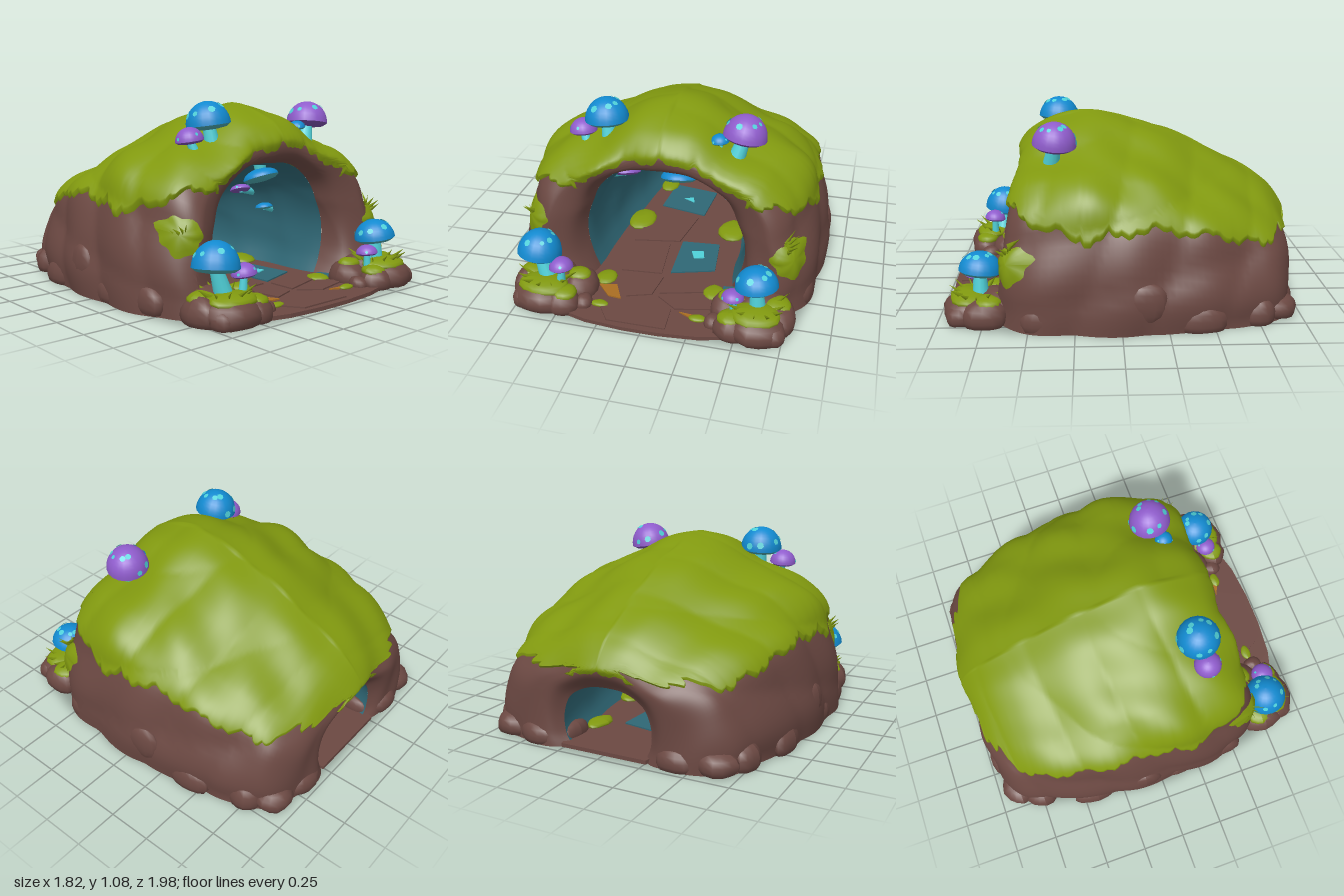
import * as THREE from 'three';
import { toCreasedNormals } from 'three/addons/utils/BufferGeometryUtils.js';

const mat = (name, color, side = THREE.FrontSide) => {
  const m = new THREE.MeshStandardMaterial({ color, side });
  m.name = name;
  return m;
};
const V = (x, y, z) => new THREE.Vector3(x, y, z);
const clamp = THREE.MathUtils.clamp, lerp = THREE.MathUtils.lerp, smooth = THREE.MathUtils.smoothstep;

export function createModel() {
  const root = new THREE.Group();
  root.name = 'mushroomCave';
  const M = {
    rock: mat('rock', 0x6b4842), moss: mat('moss', 0x81990f, THREE.DoubleSide),
    soil: mat('amberSoil', 0xa96d22),
    blue: mat('blueCap', 0x128ad0), purple: mat('purpleCap', 0x8f5ccc),
    glow: mat('paleStem', 0x4fd0d8, THREE.DoubleSide), wall: mat('tealWall', 0x2f6775),
    gill: mat('gills', 0x4aa5ac), violet: mat('violetGills', 0x7a4faa),
  };
  let seed = 7;
  const rnd = () => (seed = (seed * 16807) % 2147483647) / 2147483647;
  const add = (name, geo, material, parent = root) => {
    const m = new THREE.Mesh(geo, material);
    m.name = name;
    parent.add(m);
    return m;
  };

  // Closed loop of arches (half width, height, z): tunnel, front rim, outside, back rim
  const rings = [[.27, .36, -.9], [.36, .52, -.4], [.43, .66, .05], [.46, .72, .44], [.51, .755, .53], [.62, .82, .555],
    [.75, .885, .53], [.83, .955, .45], [.88, 1.025, .2], [.885, 1.0, 0], [.87, .93, -.25], [.83, .82, -.5],
    [.77, .715, -.72], [.69, .62, -.87], [.54, .51, -.95], [.36, .44, -.96], [.27, .36, -.9]];
  const ringCurve = new THREE.CatmullRomCurve3(rings.map(r => V(...r)));
  const half = pts => new THREE.CatmullRomCurve3(pts.map(p => V(p[0], p[1], 0)));
  const outer = half([[1, 0], [1.01, .2], [.95, .43], [.87, .63], [.7, .755], [.45, .85], [.2, .965], [0, 1]]);
  const inner = half([[.84, 0], [.98, .2], [1, .42], [.95, .6], [.84, .77], [.62, .9], [.33, .98], [0, 1]]);

  // Point on the rock: s runs along the rings, u across the arch from left foot to right foot
  function shell(s, u, lift = 0) {
    const r = ringCurve.getPoint(clamp(s / 16, 0, 1));
    const p = 1 - Math.abs(2 * u - 1);
    const k = smooth(s, 3, 7) * (1 - smooth(s, 13, 16));
    const q = inner.getPoint(p).lerp(outer.getPoint(p), k);
    const side = u < .5 ? 1 : -1;
    const front = clamp(1 - Math.abs(s - 5.4) / 2.4, 0, 1), back = clamp(1 - Math.abs(s - 14.5) / 1.5, 0, 1);
    let x = r.x * q.x * side, y = r.y * q.y;
    let z = r.z + .16 * front * (1 - q.y);
    const lump = .024 * (Math.abs(Math.sin(8 * z + 3 * y + side)) - .6) + .02 * (Math.abs(Math.sin(9 * y + 2 * z + 1)) - .6)
      + .008 * Math.sin(17 * x + 11 * z);
    const d = 1 + lump * (s > 3 && s < 15.9 ? 1 : .8) * (1 - .6 * smooth(p, .6, 1)) + lift;
    z += lift * (front - back) + .012 * Math.sin(14 * x + 9 * y) * (front + back);
    return V(x * d, y * d, z);
  }
  function grid(na, nb, fn) {
    const pos = [], idx = [];
    for (let j = 0; j <= nb; j++) for (let i = 0; i <= na; i++) {
      const p = fn(i / na, j / nb);
      pos.push(p.x, p.y, p.z);
      if (i < na && j < nb) {
        const a = j * (na + 1) + i, b = a + na + 1;
        idx.push(a, b, a + 1, a + 1, b, b + 1);
      }
    }
    const g = new THREE.BufferGeometry();
    g.setAttribute('position', new THREE.Float32BufferAttribute(pos, 3));
    g.setIndex(idx);
    g.computeVertexNormals();
    return g;
  }
  add('tunnelWall', toCreasedNormals(grid(44, 24, (u, t) => shell(t * 3.1, u)), .5), M.wall);
  add('rockShell', toCreasedNormals(grid(64, 90, (u, t) => shell(lerp(3.1, 16, t), u)), .6), M.rock);

  // Moss blanket with ragged edges
  const edgeHeights = [[5, .7], [6, .67], [7, .58], [8, .49], [9.5, .55], [11, .5], [12, .43], [13, .45], [14, .47], [15, .42]];
  function edgeU(s) {
    let i = 0;
    while (i < edgeHeights.length - 2 && s > edgeHeights[i + 1][0]) i++;
    const [a, b] = [edgeHeights[i], edgeHeights[i + 1]];
    const y = lerp(a[1], b[1], clamp((s - a[0]) / (b[0] - a[0]), 0, 1))
      - .045 * Math.abs(Math.sin(s * 2.9)) - .025 * Math.abs(Math.sin(s * 9.1)) + .035;
    let u = .04;
    while (u < .46 && shell(s, u).y < y) u += .004;
    return u;
  }
  add('mossBlanket', grid(120, 110, (a, t) => {
    const s0 = lerp(5.7, 14.5, t), e = edgeU(s0), u = lerp(e, 1 - e, a);
    const jag = .45 * Math.abs(Math.sin(u * 19 + 2 * Math.sin(u * 13))) + .4 * Math.abs(Math.sin(u * 61 + Math.sin(u * 29)))
      + .25 * Math.abs(Math.sin(u * 107));
    const s = s0 - 1.05 * jag * Math.pow(1 - t, 14) + .45 * jag * Math.pow(t, 14);
    return shell(s, u, a === 0 || a === 1 ? .004 : lerp(.026, .012, Math.pow(Math.abs(2 * t - 1), 12)));
  }), M.moss);
  // Moss patches on the two pillars
  for (const right of [0, 1]) add('pillarMoss', grid(32, 4, (a, t) => {
    const th = a * Math.PI * 2, r = t * (1 + .1 * Math.sin(th * 3 + right) + .08 * Math.sin(th * 7));
    const u = (right ? .155 : .13) + .036 * r * Math.sin(th);
    return shell(6.15 + .9 * r * Math.cos(th), right ? 1 - u : u, .022 * (1 - t * t) + .008);
  }), M.moss);

  // Underside following the foot of the rock, and the path
  const mirrored = pts => new THREE.Shape([...pts, ...pts.slice().reverse().map(([x, z]) => [-x, z])]
    .map(p => new THREE.Vector2(...p)));
  const foot = [];
  for (let s = 15; s >= 7; s -= .25) foot.push([shell(s, 0).x, shell(s, 0).z]);
  const soil = new THREE.ShapeGeometry(mirrored([...foot, [.8, .72], [.75, .88], [.62, .97], [.45, .96], [.2, .98]]));
  add('underside', soil.rotateX(Math.PI / 2), M.soil);
  const slab = (name, shape, top, depth, material) => {
    const g = new THREE.ExtrudeGeometry(shape, { depth, bevelEnabled: false });
    return add(name, g.rotateX(Math.PI / 2).translate(0, top, 0), material);
  };
  slab('path', mirrored([[.26, -.95], [.4, -.4], [.5, .2], [.55, .6], [.55, .9], [.32, .965], [.1, .985]]), .025, .022, M.rock);
  const poly = pts => new THREE.Shape(pts.map(p => new THREE.Vector2(...p)));
  const plates = [
    [M.soil, [[-.34, .65], [-.24, .63], [-.18, .75], [-.26, .74]]], [M.soil, [[.17, .79], [.28, .8], [.27, .84]]],
    [M.rock, [[-.3, .8], [-.02, .7], [.12, .78], [.13, .95], [-.2, .95]]], [M.rock, [[.02, .68], [.3, .6], [.36, .72], [.14, .77]]],
    [M.rock, [[-.2, .52], [.0, .5], [-.02, .67], [-.16, .72]]], [M.rock, [[.02, .48], [.26, .4], [.3, .57], [.02, .65]]],
    [M.rock, [[-.3, .2], [-.05, .15], [-.02, .46], [-.26, .48]]], [M.wall, [[.02, .1], [.25, .08], [.28, .36], [.03, .44]]],
    [M.rock, [[-.25, -.25], [.05, -.2], [.0, .1], [-.28, .15]]], [M.wall, [[-.2, -.6], [.1, -.55], [.08, -.24], [-.22, -.3]]],
    [M.wall, [[.36, .5], [.5, .48], [.5, .66], [.38, .68]]],
    [M.glow, [[.1, .2], [.17, .18], [.19, .25], [.13, .27]]], [M.glow, [[-.1, -.42], [-.04, -.44], [-.02, -.38]]],
  ];
  plates.forEach(([m, pts]) => slab('pavingStone', poly(pts), m === M.glow ? .038 : .033, .008, m));

  // Boulders: lumpy spheres cut flat at the ground
  function boulder(name, material, x, y, z, rx, ry, rz) {
    const g = new THREE.SphereGeometry(1, 14, 9), p = g.attributes.position, o = x * 9 + z * 5;
    for (let i = 0; i < p.count; i++) {
      const v = V().fromBufferAttribute(p, i);
      v.multiplyScalar(1 + .07 * Math.sin(4 * v.x + o) * Math.cos(3 * v.z + 2 * v.y + o));
      p.setXYZ(i, x + v.x * rx, Math.max(.002, y + v.y * ry), z + v.z * rz);
    }
    g.computeVertexNormals();
    add(name, g, material);
  }
  const blade = (x, y, z, dir, len) => {
    const b = add('grassBlade', new THREE.ConeGeometry(.018, len, 4).scale(1, 1, .3).translate(0, len / 2, 0), M.moss);
    b.position.set(x, y, z);
    b.rotation.set(0, dir, -.95, 'YXZ');
  };
  for (const s of [1, -1]) {
    [[.61, .05, .84, .16, .1, .14], [.48, .04, .87, .1, .085, .09], [.72, .05, .74, .09, .1, .13], [.43, .04, .7, .1, .1, .12],
      [.6, .08, .68, .15, .09, .13], [.37, .03, .83, .05, .05, .06], [.7, .04, .87, .07, .07, .08],
      [.72, .05, -.74, .08, .1, .1], [.62, .05, -.87, .12, .08, .1], [.42, .04, -.92, .12, .08, .07], [.82, .05, -.42, .06, .1, .14],
      [.86, .17, -.12, .05, .12, .12], [.84, .05, .1, .05, .09, .13], [.81, .06, .42, .06, .1, .13], [.28, .03, -.8, .05, .07, .12],
    ].forEach(([x, ...r]) => boulder('boulder', M.rock, s * x, ...r));
    [[.6, .12, .83, .14, .04, .11], [.7, .12, .72, .08, .04, .08], [.47, .1, .86, .07, .035, .07], [.44, .12, .7, .07, .035, .06],
      [.32, .03, .57, .06, .02, .07], [.3, .03, -.1, .09, .03, .12], [.24, .03, -.6, .06, .025, .1], [.28, .03, .82, .05, .015, .03],
    ].forEach(([x, ...r]) => boulder('mossMound', M.moss, s * x, ...r));
    for (let i = 0; i < 12; i++) {
      const a = i / 12 * Math.PI * 2;
      blade(s * .6 + .09 * Math.cos(a), .13, .78 - .08 * Math.sin(a), a, .07 + .05 * rnd());
    }
    for (let i = 0; i < 5; i++) blade(s * .71, .38 + .015 * i, .6, (s > 0 ? 0 : Math.PI) + (i - 2) * .5, .1);
  }

  // Mushrooms: rim centre, radius, cap height, stem foot, sideways tilt, colour, spots, lean back
  function mushroom(c, R, h, base, tilt, color, spots = 9, lean = -.1) {
    const g = new THREE.Group();
    g.name = 'mushroom';
    root.add(g);
    const cap = new THREE.Group();
    cap.name = 'cap';
    cap.position.set(...c);
    cap.rotation.set(lean, 0, tilt);
    g.add(cap);
    const dome = [];
    for (let i = 0; i <= 9; i++) {
      const a = i / 9 * Math.PI / 2;
      dome.push(new THREE.Vector2(R * Math.cos(a), h * Math.sin(a)));
    }
    add('capDome', new THREE.LatheGeometry(dome, 20), color, cap);
    const under = [[0, -.16], [.4, -.2], [.8, -.14], [1, 0]].map(([x, y]) => new THREE.Vector2(x * R, y * R));
    add('capGills', new THREE.LatheGeometry(under, 20), color === M.blue ? M.gill : M.violet, cap);
    for (let i = 0; i < spots; i++) {
      const a = i * 2.4 + R * 40, e = .25 + .95 * ((i * .618) % 1);
      const dot = add('capSpot', new THREE.CircleGeometry(R * (.1 + .08 * rnd()), 7), M.glow, cap);
      const n = V(Math.cos(e) * Math.cos(a) / R, Math.sin(e) / h, Math.cos(e) * Math.sin(a) / R).normalize();
      dot.position.set(R * Math.cos(e) * Math.cos(a), h * Math.sin(e), R * Math.cos(e) * Math.sin(a)).addScaledVector(n, .003);
      dot.quaternion.setFromUnitVectors(V(0, 0, 1), n);
    }
    const A = V(...base), B = V(...c), d = B.clone().sub(A);
    const stem = add('stem', new THREE.CylinderGeometry(R * .27, R * .4, d.length(), 12), M.glow, g);
    stem.position.copy(A).lerp(B, .5);
    stem.quaternion.setFromUnitVectors(V(0, 1, 0), d.normalize());
  }
  const list = [
    // on the roof
    [[-.35, .95, .36], .124, .13, [-.33, .81, .38], .08, M.blue], [[-.49, .87, .37], .078, .075, [-.46, .79, .39], .1, M.purple, 3],
    [[.43, .93, .36], .122, .128, [.39, .81, .38], -.15, M.purple], [[.3, .905, .4], .052, .045, [.31, .82, .42], .1, M.blue, 3],
    // on the front boulders
    [[-.645, .275, .76], .125, .14, [-.6, .13, .77], -.12, M.blue], [[-.5, .23, .81], .068, .06, [-.51, .1, .81], .1, M.purple, 3],
    [[.59, .265, .77], .118, .11, [.6, .12, .77], .1, M.blue], [[.47, .195, .81], .062, .05, [.48, .08, .81], 0, M.purple, 3],
    // inside the tunnel
    [[.06, .625, .35], .105, .055, [.05, .75, .34], .05, M.blue, 0, -.35],
    [[-.29, .57, .25], .09, .05, [-.4, .53, .2], .1, M.purple, 3, -.35],
    [[.22, .5, 0], .065, .035, [.38, .47, -.06], -.1, M.purple, 3, -.35],
    [[-.16, .41, -.35], .06, .035, [-.33, .36, -.42], 0, M.blue, 0, -.2],
    [[.33, .39, .1], .055, .03, [.45, .36, .06], 0, M.blue, 0, -.2],
  ];
  list.forEach(m => mushroom(...m));
  return root;
}
